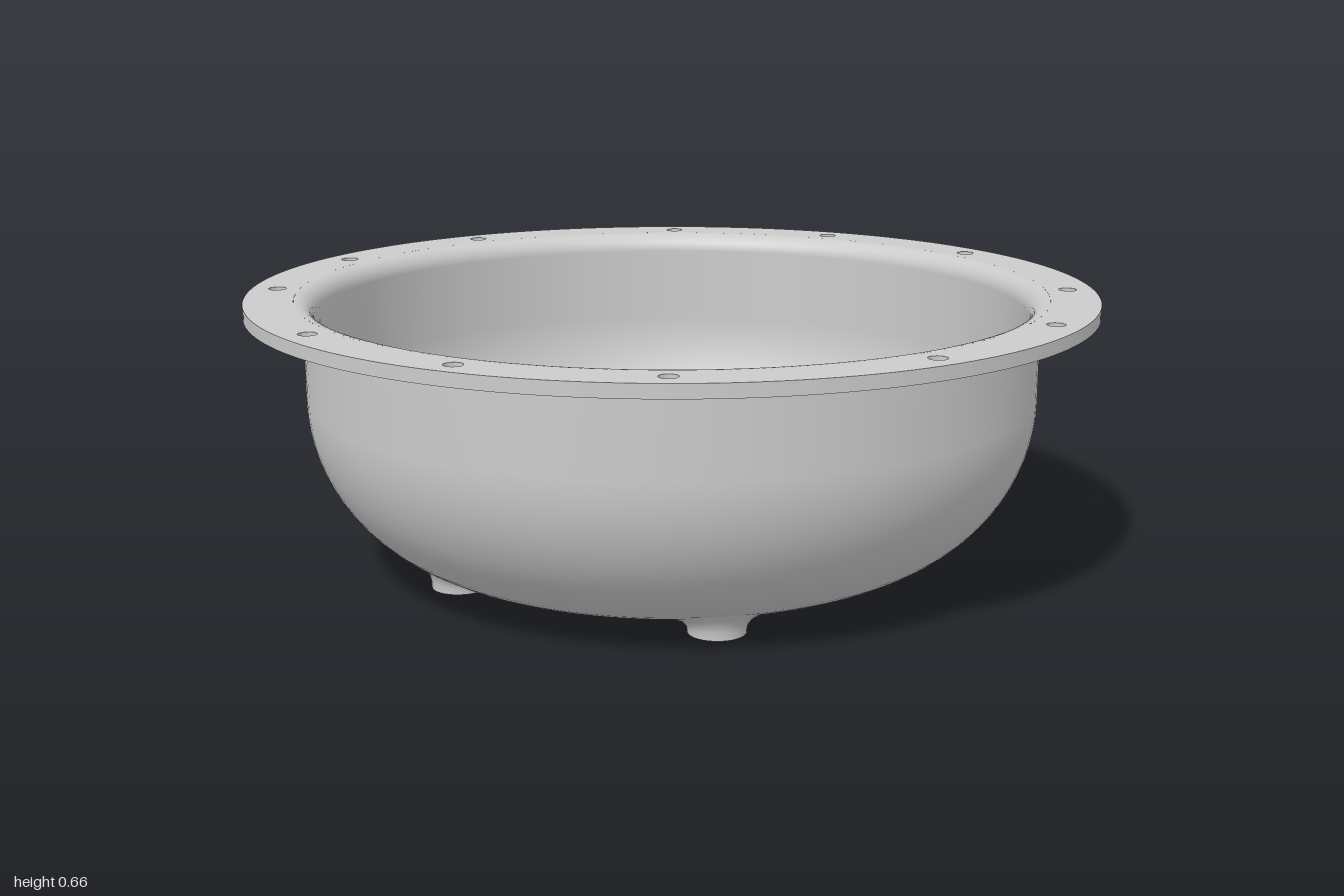
import * as THREE from 'three';
import { toCreasedNormals } from 'three/addons/utils/BufferGeometryUtils.js';

const SEGMENTS = 128;
const BEND = 0.41;           // outer bend radius of the bowl
const BEND_R = 0.455;        // where the flat floor starts to curve up
const FLOOR = 0.022;         // underside height
const WALL = 0.026;          // sheet thickness
const RIM_R = 0.885;         // where the bowl's lip meets the flange
const FLANGE = [0.633, 0.664];

// height of the bowl's underside at radius r
function undersideY(r) {
  if (r < BEND_R) return FLOOR;
  return FLOOR + BEND - Math.sqrt(BEND * BEND - (r - BEND_R) ** 2);
}

export function createModel() {
  const group = new THREE.Group();
  const material = new THREE.MeshStandardMaterial({ color: 0xcccccc, roughness: 0.7 });
  const add = (name, geometry) => {
    const mesh = new THREE.Mesh(geometry, material);
    mesh.name = name;
    group.add(mesh);
    return mesh;
  };

  // quarter bend from floor to wall, as profile points
  const bend = (radius) => {
    const points = [];
    for (let i = 0; i <= 20; i++) {
      const a = (i / 20) * Math.PI / 2;
      points.push(new THREE.Vector2(BEND_R + radius * Math.sin(a), FLOOR + BEND - radius * Math.cos(a)));
    }
    return points;
  };
  // rounded lip turning from the wall out to the flange
  const lip = (wallR, y) => {
    const points = [];
    const w = RIM_R - wallR;
    const h = Math.min(w * 1.2, 0.045);
    for (let i = 0; i <= 8; i++) {
      const a = (i / 8) * Math.PI / 2;
      points.push(new THREE.Vector2(RIM_R - w * Math.cos(a), y - h + h * Math.sin(a)));
    }
    return points;
  };

  // bowl: outside, inside and the edge of the drain hole
  const HOLE = 0.23;
  const outer = [new THREE.Vector2(HOLE, FLOOR), ...bend(BEND), ...lip(BEND_R + BEND, FLANGE[0])];
  const inner = [new THREE.Vector2(HOLE, FLOOR + WALL), ...bend(BEND - WALL), ...lip(BEND_R + BEND - WALL, FLANGE[1])];
  add('bowlOutside', new THREE.LatheGeometry(outer, SEGMENTS));
  add('bowlInside', new THREE.LatheGeometry(inner.reverse(), SEGMENTS));
  add('drainHoleEdge', new THREE.LatheGeometry(
    [new THREE.Vector2(HOLE, FLOOR + WALL), new THREE.Vector2(HOLE, FLOOR)], SEGMENTS));

  // flange with twelve bolt holes
  const ring = new THREE.Shape().absarc(0, 0, 1, 0, Math.PI * 2);
  ring.holes.push(new THREE.Path().absarc(0, 0, RIM_R, 0, Math.PI * 2, true));
  for (let quarter = 0; quarter < 4; quarter++) {
    for (const degrees of [0, 27, 62]) {
      const a = THREE.MathUtils.degToRad(quarter * 90 + degrees);
      const hole = new THREE.Path();
      hole.absarc(0.938 * Math.cos(a), 0.938 * Math.sin(a), 0.021, 0, Math.PI * 2, true);
      ring.holes.push(hole);
    }
  }
  const flange = new THREE.ExtrudeGeometry(ring, {
    depth: FLANGE[1] - FLANGE[0], bevelEnabled: false, curveSegments: SEGMENTS,
  });
  flange.rotateX(-Math.PI / 2).translate(0, FLANGE[0], 0);
  add('flange', toCreasedNormals(flange, 0.6));

  // four feet, flared so they blend into the curved underside
  const footProfile = [[0, 0], [0.066, 0], [0.067, 0.35], [0.071, 0.6], [0.08, 0.82], [0.1, 1.04]]
    .map(([r, t]) => new THREE.Vector2(r, t));
  for (const x of [-0.335, 0.335]) {
    for (const z of [-0.432, 0.432]) {
      const foot = new THREE.LatheGeometry(footProfile, 32);
      const p = foot.attributes.position;
      for (let i = 0; i < p.count; i++) {
        const r = Math.hypot(p.getX(i) + x, p.getZ(i) + z);
        p.setY(i, p.getY(i) * undersideY(r));
      }
      add('foot', toCreasedNormals(foot, 0.9)).position.set(x, 0, z);
    }
  }

  return group;
}
